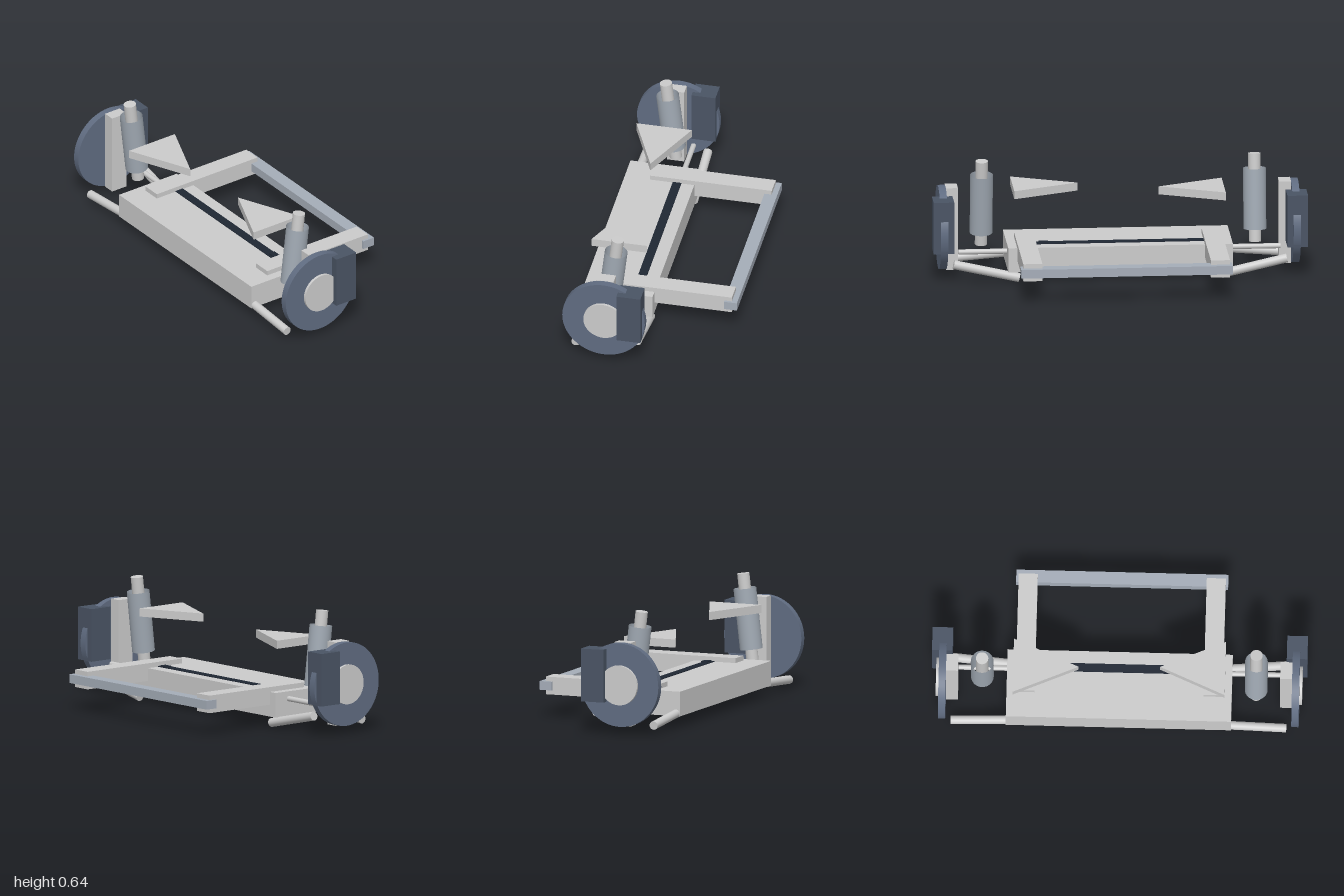
import * as THREE from 'three';

const paint = (color) => new THREE.MeshStandardMaterial({ color });

export function createModel() {
  const model = new THREE.Group();
  const grey = paint(0xcccccc);
  const slate = paint(0x606c81);
  const dark = paint(0x4a5464);
  const steel = paint(0xa5adb8);
  const black = paint(0x1f2733);
  const tubeMat = paint(0xa0a9b3);
  tubeMat.side = THREE.DoubleSide;

  function add(name, geometry, material, parent = model) {
    const mesh = new THREE.Mesh(geometry, material);
    mesh.name = name;
    parent.add(mesh);
    return mesh;
  }

  // box given by its minimum and maximum on each axis
  function box(name, [x0, x1], [y0, y1], [z0, z1], material, parent) {
    const mesh = add(name, new THREE.BoxGeometry(x1 - x0, y1 - y0, z1 - z0), material, parent);
    mesh.position.set((x0 + x1) / 2, (y0 + y1) / 2, (z0 + z1) / 2);
    return mesh;
  }

  // round bar between two points
  function bar(name, from, to, radius, material, parent) {
    const a = new THREE.Vector3(...from);
    const b = new THREE.Vector3(...to);
    const mesh = add(name, new THREE.CylinderGeometry(radius, radius, a.distanceTo(b), 24), material, parent);
    mesh.position.copy(a).add(b).multiplyScalar(0.5);
    mesh.quaternion.setFromUnitVectors(new THREE.Vector3(0, 1, 0), b.sub(a).normalize());
    return mesh;
  }

  // central beam with its dark slot strip
  box('mainBeam', [-0.4, -0.02], [0.062, 0.195], [-0.6, 0.6], grey);
  box('slotStrip', [-0.137, -0.09], [0.15, 0.199], [-0.46, 0.46], black);
  box('slotStop', [-0.125, -0.09], [0.15, 0.205], [0.38, 0.43], black);

  // crossbar joining the two rails
  box('crossbar', [0.362, 0.432], [0.15, 0.197], [-0.565, 0.565], steel);

  for (const s of [1, -1]) {
    const corner = new THREE.Group();
    corner.name = s > 0 ? 'frontAssembly' : 'rearAssembly';
    model.add(corner);
    const span = (a, b) => (s > 0 ? [a, b] : [-b, -a]);

    box('rail', [-0.26, 0.402], [0.126, 0.221], span(0.45, 0.552), grey, corner);

    // wheel side: disc, hub, caliper and upright
    bar('brakeDisc', [-0.209, 0.269, s * 0.922], [-0.209, 0.269, s * 0.961], 0.225, slate, corner).geometry =
      new THREE.CylinderGeometry(0.225, 0.225, 0.039, 64);
    bar('hub', [-0.209, 0.269, s * 0.93], [-0.209, 0.269, s * 0.976], 0.107, grey, corner).geometry =
      new THREE.CylinderGeometry(0.107, 0.107, 0.046, 48);
    box('caliper', [-0.131, 0], [0.175, 0.459], span(0.89, 1), dark, corner);
    box('upright', [-0.258, -0.163], [0.044, 0.494], span(0.858, 0.922), grey, corner);

    // suspension arms and tie rod
    bar('rearArm', [-0.376, 0.052, s * 0.893], [-0.376, 0.08, s * 0.54], 0.023, grey, corner);
    bar('frontArm', [-0.041, 0.106, s * 0.89], [-0.043, 0.026, s * 0.54], 0.024, grey, corner);
    bar('tieRod', [-0.113, 0.155, s * 0.86], [-0.113, 0.155, s * 0.56], 0.014, grey, corner);

    // leaning strut: open tube around a thinner rod
    const strut = new THREE.Group();
    strut.name = 'strut';
    strut.position.set(-0.208, 0.4, s * 0.73);
    strut.rotation.z = -s * 0.115;
    corner.add(strut);
    add('strutRod', new THREE.CylinderGeometry(0.033, 0.033, 0.475, 32), grey, strut);
    add('strutTube', new THREE.CylinderGeometry(0.061, 0.061, 0.328, 32, 1, true), tubeMat, strut)
      .position.y = -0.006;

    // triangular plate pointing inwards
    const triangle = new THREE.Shape([
      new THREE.Vector2(-0.36, -s * 0.565),
      new THREE.Vector2(-0.058, -s * 0.565),
      new THREE.Vector2(-0.209, -s * 0.217),
    ]);
    const plate = add('trianglePlate',
      new THREE.ExtrudeGeometry(triangle, { depth: 0.044, bevelEnabled: false }), grey, corner);
    plate.rotation.x = -Math.PI / 2;
    plate.position.y = s > 0 ? 0.455 : 0.425;
  }
  return model;
}
